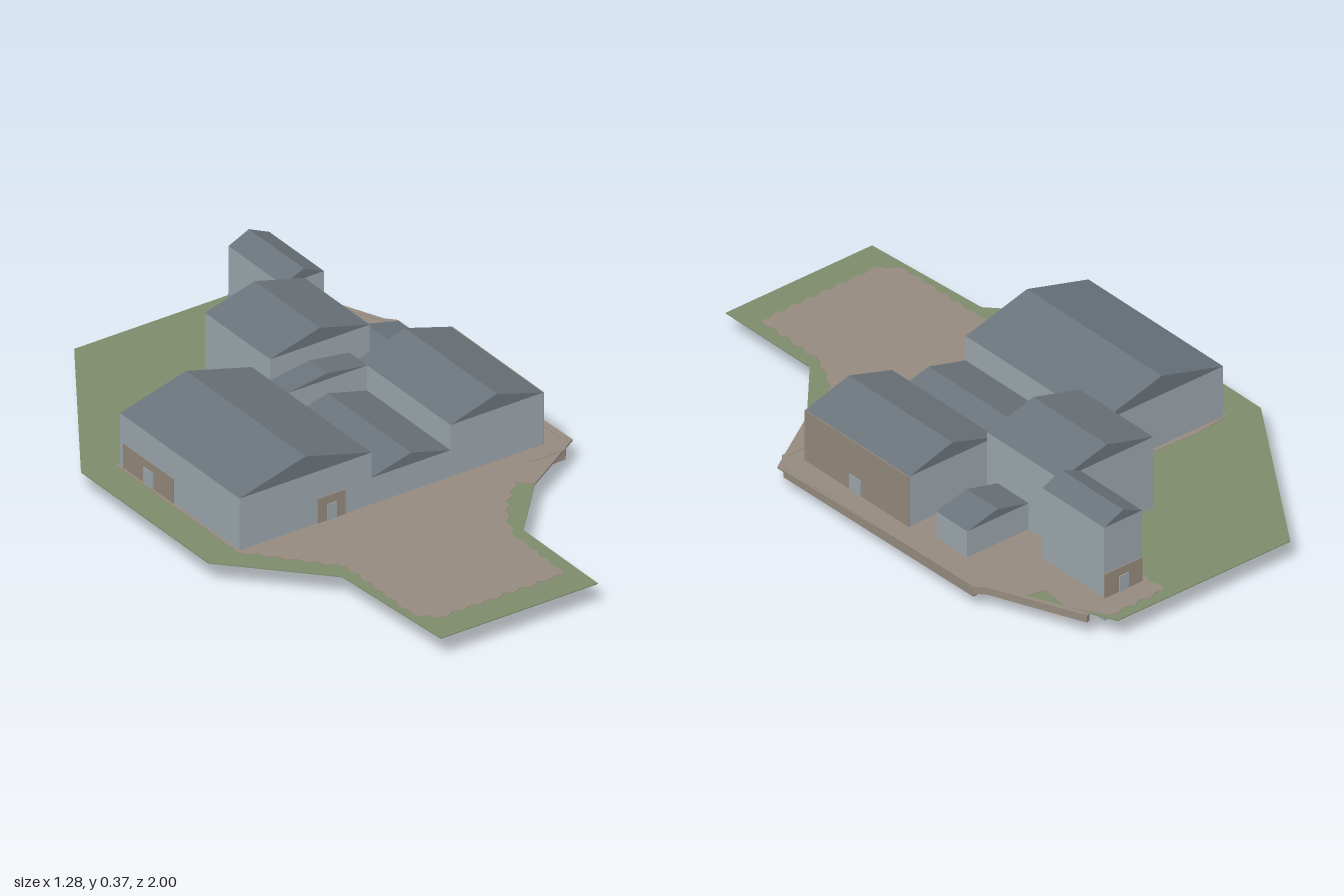
import * as THREE from 'three';

const mat = (name, color, side = THREE.FrontSide) => {
  const m = new THREE.MeshStandardMaterial({ color, side });
  m.name = name;
  return m;
};

export function createModel() {
  const wall = mat('pale grey wall', 0x9ca7ad);
  const roof = mat('slate roof', 0x6b747b);
  const grass = mat('grass', 0x7f8c6c, THREE.DoubleSide);
  const earth = mat('brown earth', 0x968b7f, THREE.DoubleSide);
  const cladding = mat('beige cladding', 0x958a7c);

  const model = new THREE.Group();
  model.name = 'buildingComplex';

  const add = (parent, name, geometry, material) => {
    const mesh = new THREE.Mesh(geometry, material);
    mesh.name = name;
    parent.add(mesh);
    return mesh;
  };

  const box = (parent, name, x0, x1, y0, y1, z0, z1, material) =>
    add(parent, name, new THREE.BoxGeometry(x1 - x0, y1 - y0, z1 - z0), material)
      .position.set((x0 + x1) / 2, (y0 + y1) / 2, (z0 + z1) / 2);

  // Flat slab from a plan outline of [x, z] points
  const slab = (name, points, y0, y1, material) => {
    const shape = new THREE.Shape(points.map(([x, z]) => new THREE.Vector2(x, -z)));
    const geo = new THREE.ExtrudeGeometry(shape, { depth: y1 - y0, bevelEnabled: false });
    geo.rotateX(-Math.PI / 2).translate(0, y0, 0);
    return add(model, name, geo, material);
  };

  // Small zigzag between two plan points
  const jag = ([ax, az], [bx, bz], step = 0.03, amp = 0.007) => {
    const dx = bx - ax, dz = bz - az, len = Math.hypot(dx, dz);
    const n = Math.max(2, Math.round(len / step));
    return Array.from({ length: n }, (_, i) => {
      const t = i / n, o = i === 0 ? 0 : (i % 2 ? amp : -amp) / len;
      return [ax + dx * t - dz * o, az + dz * t + dx * o];
    });
  };

  // Ground
  slab('grassGround', [
    [-0.25, -1], [0.41, -1], [0.6, -0.6], [0.615, -0.6], [0.64, 0.27], [0.4, 0.42],
    [0.22, 0.62], [0.22, 1], [-0.34, 1], [-0.37, 0.54], [-0.645, 0.25], [-0.645, -0.4],
  ], 0.078, 0.081, grass);

  // Driveway and yard: third value marks a ragged border running to the next point
  const yard = [
    [-0.28, 0.9, 1], [0.17, 0.9, 1], [0.18, 0.62, 1], [0.24, 0.5, 1], [0.36, 0.38], [0.4, 0.42],
    [0.64, 0.27], [0.615, -0.6], [0.6, -0.6], [0.54, -0.727], [0.47, -0.74], [0.48, -0.85],
    [0.41, -0.965, 1], [0.2, -0.965, 1], [0.2, -0.6], [-0.05, -0.6], [-0.06, -0.37],
    [-0.42, -0.385], [-0.54, -0.37], [-0.54, 0.25, 1], [-0.33, 0.5, 1], [-0.33, 0.84, 1],
  ];
  slab('earthYard', yard.flatMap((p, i) =>
    p[2] ? jag(p, yard[(i + 1) % yard.length]) : [[p[0], p[1]]]), 0.077, 0.0825, earth);

  // Foundation rim under the halls
  slab('foundationRim', [
    [-0.54, 0.252], [0.558, 0.252], [0.558, -0.235], [0.305, -0.235], [0.305, -0.372], [-0.54, -0.372],
  ], 0.067, 0.08, earth);

  // Retaining wall along the right-hand edge
  const edge = [[0.47, 0.305], [0.585, 0.3], [0.622, 0.25], [0.612, -0.59], [0.585, -0.62], [0.46, -0.92]];
  edge.slice(0, -1).forEach(([ax, az], i) => {
    const [bx, bz] = edge[i + 1], len = Math.hypot(bx - ax, bz - az);
    const h = i < 3 ? 0.035 : 0.025;
    const seg = add(model, 'retainingWall' + (i + 1), new THREE.BoxGeometry(0.015, h, len + 0.008), earth);
    seg.position.set((ax + bx) / 2, 0.084 - h / 2, (az + bz) / 2);
    seg.rotation.y = Math.atan2(bx - ax, bz - az);
  });

  // Block with a pitched roof, ridge running front to back
  const building = (name, x0, x1, z0, z1, base, eave, ridge) => {
    const group = new THREE.Group();
    group.name = name;
    model.add(group);
    box(group, name + 'Walls', x0, x1, base, eave, z0, z1, wall);
    const gable = new THREE.Shape([
      new THREE.Vector2(x0, eave), new THREE.Vector2(x1, eave), new THREE.Vector2((x0 + x1) / 2, ridge),
    ]);
    const geo = new THREE.ExtrudeGeometry(gable, { depth: z1 - z0, bevelEnabled: false });
    add(group, name + 'Roof', geo.translate(0, 0, z0), roof);
    return group;
  };

  const leftHall = building('leftHall', -0.53, -0.06, -0.365, 0.245, 0.065, 0.257, 0.322);
  building('entranceHall', -0.06, 0.222, -0.18, 0.245, 0.065, 0.172, 0.21);
  building('linkBlock', -0.06, 0.222, -0.272, -0.18, 0.065, 0.257, 0.277);
  const rightHall = building('rightHall', 0.222, 0.553, -0.225, 0.245, 0.065, 0.257, 0.307);
  building('tallBlock', -0.06, 0.295, -0.605, -0.272, 0.012, 0.327, 0.375);
  const rearTower = building('rearTower', 0.22, 0.365, -0.885, -0.605, 0.003, 0.327, 0.36);
  building('sideAnnex', 0.295, 0.53, -0.46, -0.32, 0.066, 0.173, 0.202);
  box(model, 'courtFloor', 0.222, 0.295, 0.065, 0.088, -0.272, -0.225, wall);

  // Cladding panels with doors
  const t = 0.003;
  box(leftHall, 'frontPanel', -0.252, -0.155, 0.08, 0.165, 0.245, 0.245 + t, cladding);
  box(leftHall, 'frontDoor', -0.221, -0.186, 0.08, 0.137, 0.245, 0.245 + 2 * t, wall);
  box(leftHall, 'sidePanel', -0.53 - t, -0.53, 0.08, 0.165, -0.345, -0.09, cladding);
  box(leftHall, 'sideDoor', -0.53 - 2 * t, -0.53, 0.08, 0.137, -0.24, -0.19, wall);
  box(rightHall, 'sideCladding', 0.553, 0.553 + t, 0.08, 0.257, -0.225, 0.245, cladding);
  box(rightHall, 'sideDoor', 0.553, 0.553 + 2 * t, 0.08, 0.137, -0.01, 0.04, wall);
  box(rearTower, 'rearPanel', 0.22, 0.365, 0.08, 0.165, -0.885 - t, -0.885, cladding);
  box(rearTower, 'rearDoor', 0.275, 0.31, 0.08, 0.137, -0.885 - 2 * t, -0.885, wall);

  return model;
}
